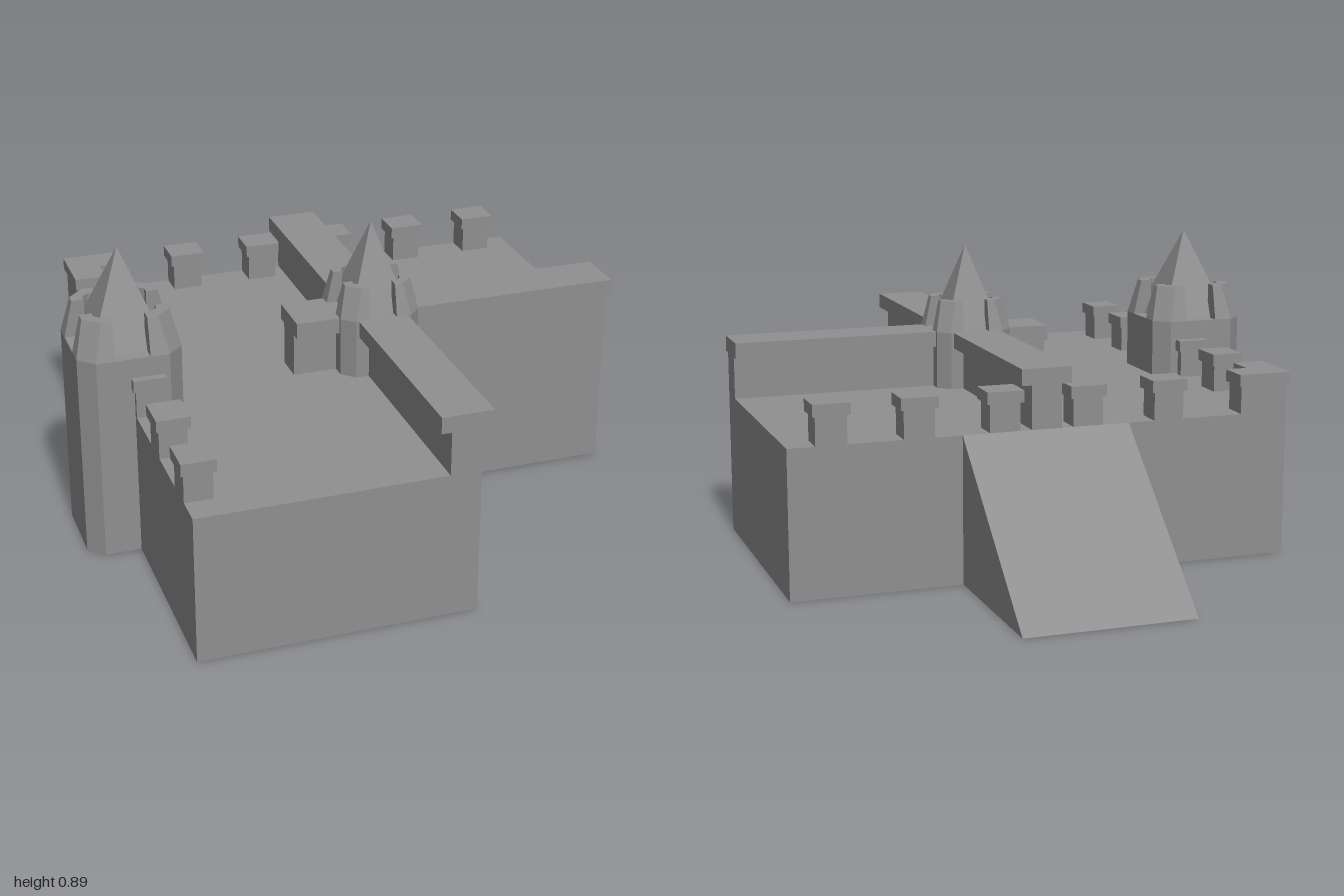
import * as THREE from 'three';

const FLOOR = 0.432, CAP_Y = 0.56, WALL_TOP = 0.608;

export function createModel() {
  const group = new THREE.Group();
  group.name = 'castle';
  const stone = new THREE.MeshStandardMaterial({ color: 0x909090 });
  stone.name = 'stone grey';

  const add = (name, geometry, parent = group) => {
    const mesh = new THREE.Mesh(geometry, stone);
    mesh.name = name;
    parent.add(mesh);
    return mesh;
  };

  // Upright prism from a plan outline of [x, z] points
  const prism = (points, y0, y1) => {
    const shape = new THREE.Shape(points.map(([x, z]) => new THREE.Vector2(x, -z)));
    const g = new THREE.ExtrudeGeometry(shape, { depth: y1 - y0, bevelEnabled: false });
    g.rotateX(-Math.PI / 2);
    g.translate(0, y0, 0);
    return g;
  };

  // Plan outline of two crossing walls, w = half thickness
  const crossPlan = (w) => {
    const cx = 0.075, cz = 0.25;
    return [
      [cx - w, -0.5], [cx + w, -0.5], [cx + w, cz - w], [0.825, cz - w],
      [0.825, cz + w], [cx + w, cz + w], [cx + w, 1], [cx - w, 1],
      [cx - w, cz + w], [-0.175, cz + w], [-0.175, cz - w], [cx - w, cz - w],
    ];
  };

  // Raised ground block with its inner corner
  add('base', prism([
    [-0.675, -0.5], [0.825, -0.5], [0.825, 0.295],
    [0.12, 0.295], [0.12, 1], [-0.675, 1],
  ], 0, FLOOR));

  // Ramp leading up to the back edge
  const side = new THREE.Shape([
    new THREE.Vector2(0.5, 0), new THREE.Vector2(1, 0), new THREE.Vector2(0.5, FLOOR),
  ]);
  const ramp = new THREE.ExtrudeGeometry(side, { depth: 0.5, bevelEnabled: false });
  ramp.rotateY(Math.PI / 2); // profile now runs towards -z
  ramp.translate(-0.175, 0, 0);
  add('ramp', ramp);

  // Crossing walls and their overhanging coping
  add('walls', prism(crossPlan(0.045), FLOOR, CAP_Y));
  add('wallCoping', prism(crossPlan(0.075), CAP_Y, WALL_TOP));

  // Merlons: a block under a slightly wider cap
  const rect = (x0, x1, z0, z1) => [[x0, z0], [x1, z0], [x1, z1], [x0, z1]];
  const merlon = (body, cap) => {
    const m = new THREE.Group();
    m.name = 'merlon';
    add('merlonBlock', prism(body, FLOOR, 0.515), m);
    add('merlonCap', prism(cap, 0.515, 0.55), m);
    group.add(m);
  };
  for (let i = 0; i < 5; i++) {
    const x = -0.3 + i * 0.25, z = -0.13 + i * 0.25;
    merlon(rect(x - 0.045, x + 0.045, -0.5, -0.42), rect(x - 0.054, x + 0.054, -0.508, -0.412));
    merlon(rect(-0.675, -0.595, z - 0.045, z + 0.045), rect(-0.683, -0.587, z - 0.054, z + 0.054));
  }
  // L-shaped merlon on the back corner
  const ell = (x0, x1, x2, z0, z1, z2) =>
    [[x0, z0], [x2, z0], [x2, z1], [x1, z1], [x1, z2], [x0, z2]];
  merlon(ell(-0.675, -0.595, -0.53, -0.5, -0.42, -0.335),
    ell(-0.683, -0.587, -0.522, -0.508, -0.412, -0.326));

  // Towers: chamfered shaft, tapering corner battlements, square spire
  const tower = (name, x, z, s, crownTop, apex) => {
    const t = new THREE.Group();
    t.name = name;
    t.position.set(x, 0, z);
    const a = 0.15 * s, b = 0.105 * s;
    add('towerShaft', prism([
      [-b, -a], [b, -a], [a, -b], [a, b], [b, a], [-b, a], [-a, b], [-a, -b],
    ], 0, WALL_TOP), t);

    const plan = [[0.05, 0.15], [0.05, 0.09], [0.07, 0.09], [0.09, 0.07],
      [0.09, 0.05], [0.15, 0.05], [0.15, 0.105], [0.105, 0.15]];
    const crown = prism(plan.map(([u, v]) => [u * s, v * s]), WALL_TOP, crownTop);
    // Pull the outer faces in at the top
    const p = crown.attributes.position;
    const lean = (v) => (v > 0.1 * s ? v - 0.025 * s : v);
    for (let i = 0; i < p.count; i++) {
      if (p.getY(i) > WALL_TOP + 0.01) {
        p.setX(i, lean(p.getX(i)));
        p.setZ(i, lean(p.getZ(i)));
      }
    }
    crown.computeVertexNormals();
    for (let i = 0; i < 4; i++) add('towerBattlement', crown, t).rotation.y = i * Math.PI / 2;

    const h = apex - WALL_TOP;
    const spire = new THREE.ConeGeometry(0.112 * s * Math.SQRT2, h, 4).toNonIndexed();
    spire.computeVertexNormals();
    spire.rotateY(Math.PI / 4);
    spire.translate(0, WALL_TOP + h / 2, 0);
    add('towerSpire', spire, t);
    group.add(t);
  };
  tower('largeTower', -0.675, 0.25, 1, 0.717, 0.886);
  tower('smallTower', 0.075, 0.25, 0.8, 0.703, 0.868);

  return group;
}
